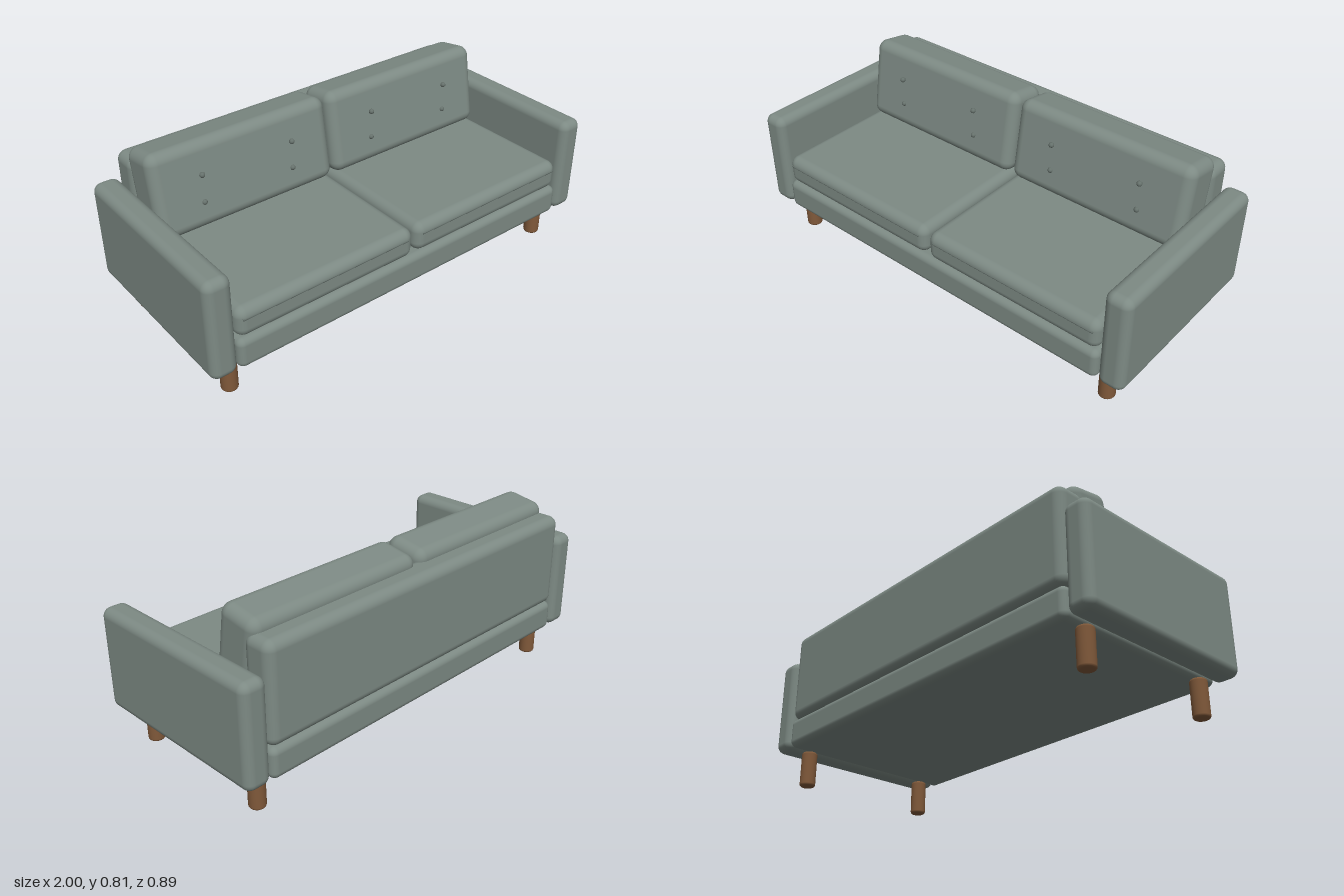
import * as THREE from 'three';
import { RoundedBoxGeometry } from 'three/addons/geometries/RoundedBoxGeometry.js';

export function createModel() {
  const sofa = new THREE.Group();
  sofa.name = 'sofa';
  const fabric = new THREE.MeshStandardMaterial({ color: 0x7d8a84 });
  const buttonFabric = new THREE.MeshStandardMaterial({ color: 0x66716c });
  const wood = new THREE.MeshStandardMaterial({ color: 0x80593a });

  const add = (name, geometry, material, x, y, z) => {
    const mesh = new THREE.Mesh(geometry, material);
    mesh.name = name;
    mesh.position.set(x, y, z);
    sofa.add(mesh);
    return mesh;
  };
  // Soft block given by its extents on each axis
  const block = (name, [x0, x1], [y0, y1], [z0, z1], radius) =>
    add(name, new RoundedBoxGeometry(x1 - x0, y1 - y0, z1 - z0, 5, radius), fabric,
      (x0 + x1) / 2, (y0 + y1) / 2, (z0 + z1) / 2);

  // Frame
  block('base', [-0.88, 0.88], [0.167, 0.305], [-0.443, 0.443], 0.03);
  block('backrest', [-0.88, 0.88], [0.303, 0.738], [-0.443, -0.298], 0.042);

  // Turned leg with eased ends
  const r = 0.036, h = 0.167, e = 0.012;
  const profile = [new THREE.Vector2(0, 0)];
  for (let i = 0; i <= 4; i++) {
    const a = (i / 4) * Math.PI / 2;
    profile.push(new THREE.Vector2(r - e + e * Math.sin(a), e - e * Math.cos(a)));
  }
  for (let i = 0; i <= 4; i++) {
    const a = (i / 4) * Math.PI / 2;
    profile.push(new THREE.Vector2(r - e + e * Math.cos(a), h - e + e * Math.sin(a)));
  }
  profile.push(new THREE.Vector2(0, h));
  const legGeometry = new THREE.LatheGeometry(profile, 28);

  const cushionGeometry = new RoundedBoxGeometry(0.866, 0.38, 0.2, 5, 0.047);
  const buttonGeometry = new THREE.SphereGeometry(0.012, 16, 12);
  const seamGeometry = new THREE.CylinderGeometry(0.004, 0.004, 0.81, 8).rotateZ(Math.PI / 2);

  for (const [side, s] of [['left', 1], ['right', -1]]) {
    const span = (a, b) => (s > 0 ? [a, b] : [-b, -a]);

    block(side + 'Arm', span(0.884, 1), [0.167, 0.622], [-0.445, 0.445], 0.038);
    block(side + 'SeatCushion', span(0.007, 0.873), [0.303, 0.439], [-0.3, 0.436], 0.042);
    add(side + 'SeatSeam', seamGeometry, buttonFabric, s * 0.445, 0.395, 0.434);

    // Back cushion leaning against the backrest
    add(side + 'BackCushion', cushionGeometry, fabric, s * 0.44, 0.61, -0.232).rotation.x = -0.163;

    // Tufting buttons
    for (const x of [0.22, 0.66]) {
      for (const y of [0.555, 0.683]) {
        add(side + 'Button', buttonGeometry, buttonFabric, s * x, y, -0.122);
      }
    }

    add(side + 'FrontLeg', legGeometry, wood, s * 0.873, 0, 0.33);
    add(side + 'BackLeg', legGeometry, wood, s * 0.873, 0, -0.33);
  }
  return sofa;
}
